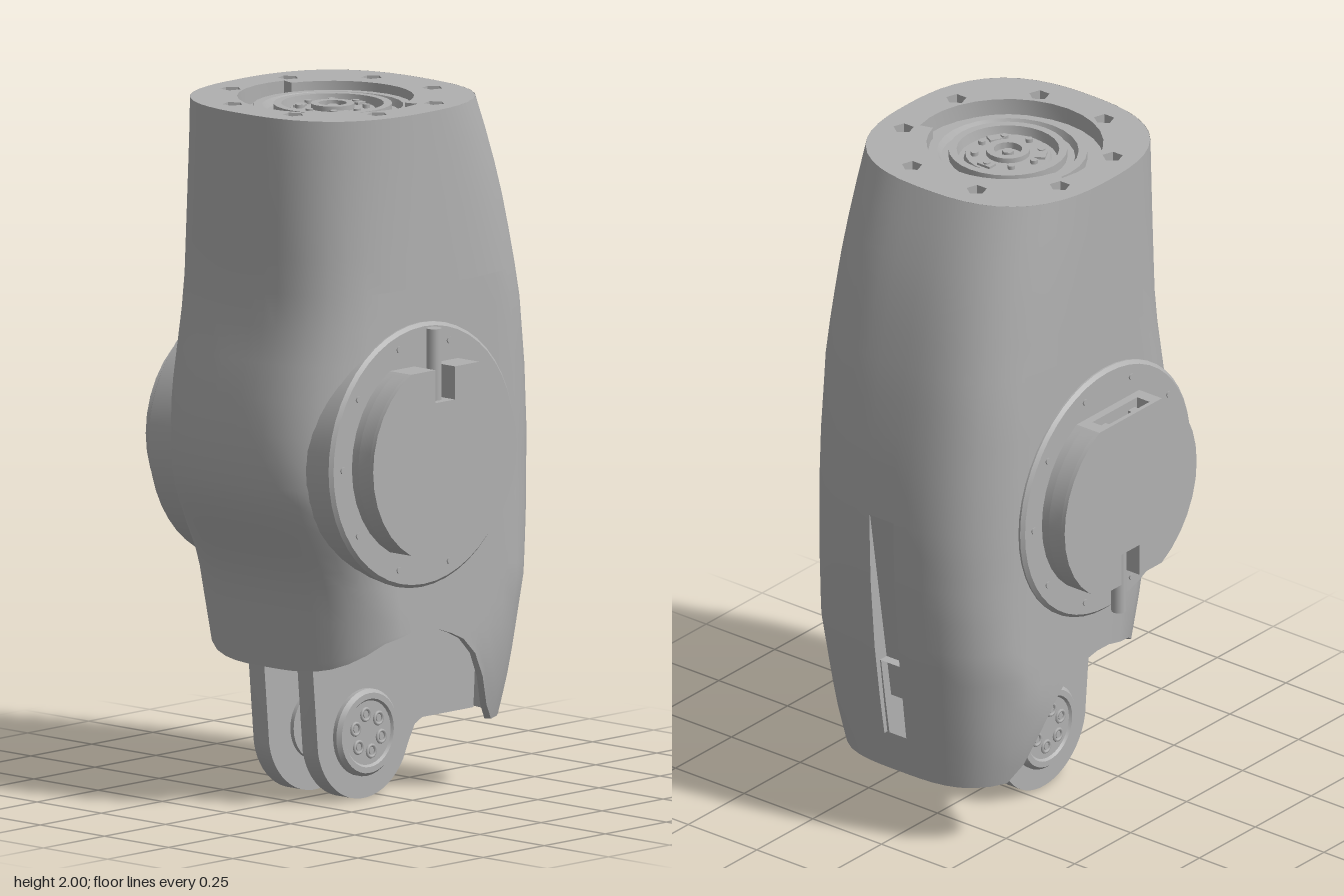
import * as THREE from 'three';
import { toCreasedNormals } from 'three/addons/utils/BufferGeometryUtils.js';

const grey = new THREE.MeshStandardMaterial({ color: 0xb0b0b0, side: THREE.DoubleSide });
grey.name = 'machinedGrey';

const TAU = Math.PI * 2;
const AXIS_Y = 1.015, AXIS_Z = 0.07; // joint axis
const HUB_Y = 0.19;                  // lower fork axis
const TOP_Z = 0.065;                 // centre of the top connector

function part(name, geo, parent) {
  const m = new THREE.Mesh(geo, grey);
  m.name = name;
  parent.add(m);
  return m;
}

// linear lookup in [[key, value], ...] with rising keys
function lookup(keys, v) {
  if (v <= keys[0][0]) return keys[0][1];
  for (let i = 1; i < keys.length; i++) {
    const [k0, a] = keys[i - 1], [k1, b] = keys[i];
    if (v <= k1) return a + (b - a) * (v - k0) / (k1 - k0);
  }
  return keys[keys.length - 1][1];
}

// outline of [z, y] points extruded along x
function extrudeX(pts, x0, x1, holes = []) {
  const v = (list) => list.map(([z, y]) => new THREE.Vector2(-z, y));
  const s = new THREE.Shape(v(pts));
  holes.forEach((h) => s.holes.push(new THREE.Path(v(h))));
  const g = new THREE.ExtrudeGeometry(s, { depth: x1 - x0, bevelEnabled: false });
  return toCreasedNormals(g.rotateY(Math.PI / 2).translate(x0, 0, 0), 0.5);
}

// cylinder lying along x
function discX(r, x0, x1, y, z, sides = 32) {
  return new THREE.CylinderGeometry(r, r, x1 - x0, sides).rotateZ(-Math.PI / 2).translate((x0 + x1) / 2, y, z);
}

const arc = (cx, cy, r, a0, a1, n) => Array.from({ length: n + 1 }, (_, i) => {
  const a = a0 + (a1 - a0) * i / n;
  return [cx + r * Math.cos(a), cy + r * Math.sin(a)];
});

// ---- housing shell: superellipse sections lofted down y ----
const FRONT = [[0.4, 0.33], [0.5, 0.345], [0.6, 0.36], [0.65, 0.372], [0.7, 0.39], [0.75, 0.415], [0.8, 0.442],
  [0.85, 0.468], [0.9, 0.488], [0.95, 0.5], [1.03, 0.505], [1.1, 0.502], [1.2, 0.49], [1.3, 0.47], [1.4, 0.45], [1.5, 0.442], [2, 0.44]];
const BACK = [[0.2, -0.42], [0.4, -0.45], [0.6, -0.478], [0.8, -0.495], [1, -0.503], [1.2, -0.492],
  [1.4, -0.467], [1.5, -0.45], [1.6, -0.43], [1.7, -0.408], [1.8, -0.38], [1.9, -0.347], [2, -0.31]];
const WIDTH = [[0.2, 0.305], [0.3, 0.33], [0.4, 0.345], [0.6, 0.37], [2, 0.37]];
const EDGE = [[-0.28, 0.2], [-0.25, 0.23], [-0.22, 0.3], [-0.17, 0.4], [-0.1, 0.47], [0, 0.505], [0.05, 0.512],
  [0.1, 0.51], [0.2, 0.485], [0.28, 0.43], [0.33, 0.395]];
const COLS = 52;

function section(y, j, clamp, shrink = 1) {
  const t = j / COLS * TAU, dx = Math.sin(t), dz = -Math.cos(t);
  const n = lookup([[1.4, 3.4], [2, 2.6]], y);
  const k = shrink * Math.pow(Math.abs(dx) ** n + Math.abs(dz) ** n, -1 / n);
  const f = lookup(FRONT, y), b = lookup(BACK, y);
  const lim = (clamp ? 0.345 : 1) * shrink;
  const x = THREE.MathUtils.clamp(lookup(WIDTH, y) * k * dx, -lim, lim);
  return [x, y, (f + b) / 2 + (f - b) / 2 * k * dz];
}

function edgeY(j) {
  let y = 0.3;
  for (let i = 0; i < 8; i++) y = lookup(EDGE, section(y, j, true)[2]);
  return y;
}

function shellGeometry() {
  const rows = [];
  for (const y of [2, 1.9, 1.8, 1.7, 1.6, 1.5]) rows.push({ y });
  for (const y of [1.5, 1.4, 1.3, 1.2, 1.1, 1.03, 0.95, 0.9, 0.85, 0.8, 0.75, 0.7, 0.65, 0.6]) rows.push({ y, clamp: true });
  const slotTop = rows.findIndex((r) => r.y === 1.03);
  for (const t of [0, 0.25, 0.457, 0.686, 0.85, 1]) rows.push({ t });
  const slotEnd = rows.length - 3;
  // inner wall and ceiling
  for (const t of [1, 0.686, 0.4, 0]) rows.push({ t, shrink: 0.95 });
  rows.push({ t: 0, shrink: 0 });
  const innerSlot = rows.length - 4;
  const pos = [], idx = [];
  for (const r of rows) {
    for (let j = 0; j < COLS; j++) {
      const y = r.y ?? 0.55 + (edgeY(j) - 0.55) * r.t;
      pos.push(...section(y, j, r.clamp || r.t !== undefined, r.shrink));
    }
  }
  for (let i = 0; i < rows.length - 1; i++) {
    for (let j = 0; j < COLS; j++) {
      const inSlot = (i >= slotTop && i < slotEnd) || (i >= innerSlot && i < innerSlot + 2);
      if (inSlot && (j === 0 || j === COLS - 1)) continue; // rear slot
      const a = i * COLS + j, b = i * COLS + (j + 1) % COLS;
      idx.push(a, b, a + COLS, b, b + COLS, a + COLS);
    }
  }
  const g = new THREE.BufferGeometry();
  g.setAttribute('position', new THREE.Float32BufferAttribute(pos, 3));
  g.setIndex(idx);
  return toCreasedNormals(g, 0.6);
}

// ---- side joint: flange and capped motor housing, facing +x about its axis ----
function capOutline(slot) {
  const a = Math.asin(0.26 / 0.295);
  const pts = [...arc(0, 0, 0.295, -a, a, 12), [0.04, 0.26], [0.04, 0.165], [-0.04, 0.165], [-0.04, 0.26],
    ...arc(0, 0, 0.295, Math.PI - a, Math.PI + a, 12)];
  if (slot) pts.push([-0.1, -0.26], [-0.1, -0.21], [0.1, -0.21], [0.1, -0.26]);
  return pts;
}

function sideJoint(name) {
  const g = new THREE.Group();
  g.name = name;
  const ring = [[0.38, 0.18], [0.38, 0.35], [0.37, 0.36], [0, 0.36]].map(([r, h]) => new THREE.Vector2(r, h));
  part('flange', toCreasedNormals(new THREE.LatheGeometry(ring, 48).rotateZ(-Math.PI / 2), 0.5), g);
  part('capBase', extrudeX(capOutline(false), 0.355, 0.385), g);
  part('capSlotLayer', extrudeX(capOutline(true), 0.385, 0.43), g);
  part('capFace', extrudeX(capOutline(false), 0.43, 0.443), g);
  part('cablePipe', new THREE.CylinderGeometry(0.022, 0.022, 0.21, 12).translate(0.4, 0.265, 0), g);
  for (const z of [-0.065, 0.065]) part('connector', new THREE.BoxGeometry(0.03, 0.03, 0.03).translate(0.407, -0.225, z), g);
  for (let i = 0; i < 10; i++) {
    const a = i / 10 * TAU;
    part('flangeScrew', discX(0.01, 0.35, 0.364, 0.333 * Math.sin(a), 0.333 * Math.cos(a), 6), g);
  }
  g.position.set(0, AXIS_Y, AXIS_Z);
  return g;
}

// ---- top connector ----
function topConnector() {
  const g = new THREE.Group();
  g.name = 'topConnector';
  const outline = Array.from({ length: COLS }, (_, j) => {
    const [x, , z] = section(2, j, false, 0.998);
    return new THREE.Vector2(x, z);
  });
  const s = new THREE.Shape(outline);
  const toPath = (pts) => new THREE.Path(pts.map(([x, z]) => new THREE.Vector2(x, z)));
  s.holes.push(toPath([...arc(0, TOP_Z, 0.27, -0.28, Math.PI + 0.28, 18), ...arc(0, TOP_Z, 0.23, Math.PI + 0.28, TAU - 0.28, 14)]));
  const around = (n, r, off) => Array.from({ length: n }, (_, i) => (i + off) / n * TAU).map((a) => [r * Math.cos(a), TOP_Z + r * Math.sin(a), a]);
  const bolts = around(8, 0.308, 0.5);
  bolts.forEach(([x, z]) => s.holes.push(toPath(arc(x, z, 0.03, -Math.PI / 2, 1.5 * Math.PI - TAU / 5, 4))));
  const plate = new THREE.ExtrudeGeometry(s, { depth: 0.05, bevelEnabled: false }).rotateX(Math.PI / 2).translate(0, 2, 0);
  part('topPlate', toCreasedNormals(plate, 0.5), g);
  for (const [x, z] of bolts) part('boltPin', new THREE.ConeGeometry(0.016, 0.03, 5).translate(x, 1.965, z), g);
  // stepped bearing rings
  const rings = [[0.355, 1.95], [0.225, 1.95], [0.225, 1.975], [0.2, 1.975], [0.19, 1.955], [0.168, 1.955], [0.168, 1.98],
    [0.145, 1.98], [0.14, 1.95], [0.125, 1.95], [0.12, 1.965], [0.062, 1.965], [0.062, 1.98], [0.04, 1.98], [0.04, 1.96], [0, 1.96]];
  const lathe = new THREE.LatheGeometry(rings.map(([r, y]) => new THREE.Vector2(r, y)), 28);
  part('bearingRings', toCreasedNormals(lathe.translate(0, 0, TOP_Z), 0.5), g);
  around(8, 0.095, 0).forEach(([x, z]) => part('ringScrew', new THREE.CylinderGeometry(0.011, 0.011, 0.012, 6).translate(x, 1.97, z), g));
  around(3, 0.095, 0.25).forEach(([x, z, a]) => part('ringKey',
    new THREE.BoxGeometry(0.03, 0.01, 0.045).rotateY(-a).translate(x, 1.967, z), g));
  part('centreNut', new THREE.CylinderGeometry(0.017, 0.017, 0.015, 6).translate(0, 1.967, TOP_Z), g);
  return g;
}

// ---- one cheek of the lower fork, on the +x side ----
function forkCheek(name) {
  const g = new THREE.Group();
  g.name = name;
  const outline = [[0.28, 0.56], [0.28, 0.42], ...arc(AXIS_Z, HUB_Y, 0.19, -0.2, -2.6, 20),
    [-0.115, 0.14], [-0.14, 0.185], [-0.17, 0.2], [-0.38, 0.2], [-0.4, 0.56]];
  part('cheekPlate', extrudeX(outline, 0.065, 0.125, [arc(0.23, 0.44, 0.02, 0, TAU * 5 / 6, 5)]), g);
  const hub = [[0.125, 0.12], [0.125, 0.138], [0.115, 0.15], [0.098, 0.15], [0.092, 0.143], [0, 0.143]].map(([r, h]) => new THREE.Vector2(r, h));
  part('hub', toCreasedNormals(new THREE.LatheGeometry(hub, 36).rotateZ(-Math.PI / 2).translate(0, HUB_Y, AXIS_Z), 0.5), g);
  part('innerHub', discX(0.1, 0.052, 0.07, HUB_Y, AXIS_Z), g);
  part('axlePin', discX(0.022, 0.035, 0.06, HUB_Y, AXIS_Z, 12), g);
  for (let i = 0; i < 6; i++) {
    const a = (i + 0.3) / 6 * TAU, y = HUB_Y + 0.055 * Math.sin(a), z = AXIS_Z + 0.055 * Math.cos(a);
    part('hubScrew', new THREE.TorusGeometry(0.017, 0.005, 6, 12).rotateY(Math.PI / 2).translate(0.144, y, z), g);
    part('hubScrewHead', discX(0.01, 0.14, 0.146, y, z, 6), g);
  }
  return g;
}

export function createModel() {
  const model = new THREE.Group();
  model.name = 'robotArmJoint';
  part('shell', shellGeometry(), model);

  // rear slot: side walls and sloping floor
  const ys = [0.31, 0.4, 0.5, 0.6, 0.7, 0.8, 0.9, 1.03];
  const rear = ys.map((y) => [lookup(BACK, y) + 0.004, y]);
  const wall = [...rear, [-0.4, 1.03], [-0.37, 0.31]];
  for (const x of [-0.052, 0.046]) part('slotWall', extrudeX(wall, x, x + 0.006), model);
  part('slotFloor', extrudeX([[-0.495, 1.03], [-0.4, 0.42], [-0.38, 0.42], [-0.38, 1.03]], -0.047, 0.047), model);

  model.add(sideJoint('leftJoint'));
  const other = sideJoint('rightJoint');
  other.rotation.z = Math.PI;
  model.add(other);

  model.add(topConnector());
  model.add(forkCheek('leftForkCheek'));
  const mirrored = forkCheek('rightForkCheek');
  mirrored.scale.x = -1;
  model.add(mirrored);
  return model;
}
